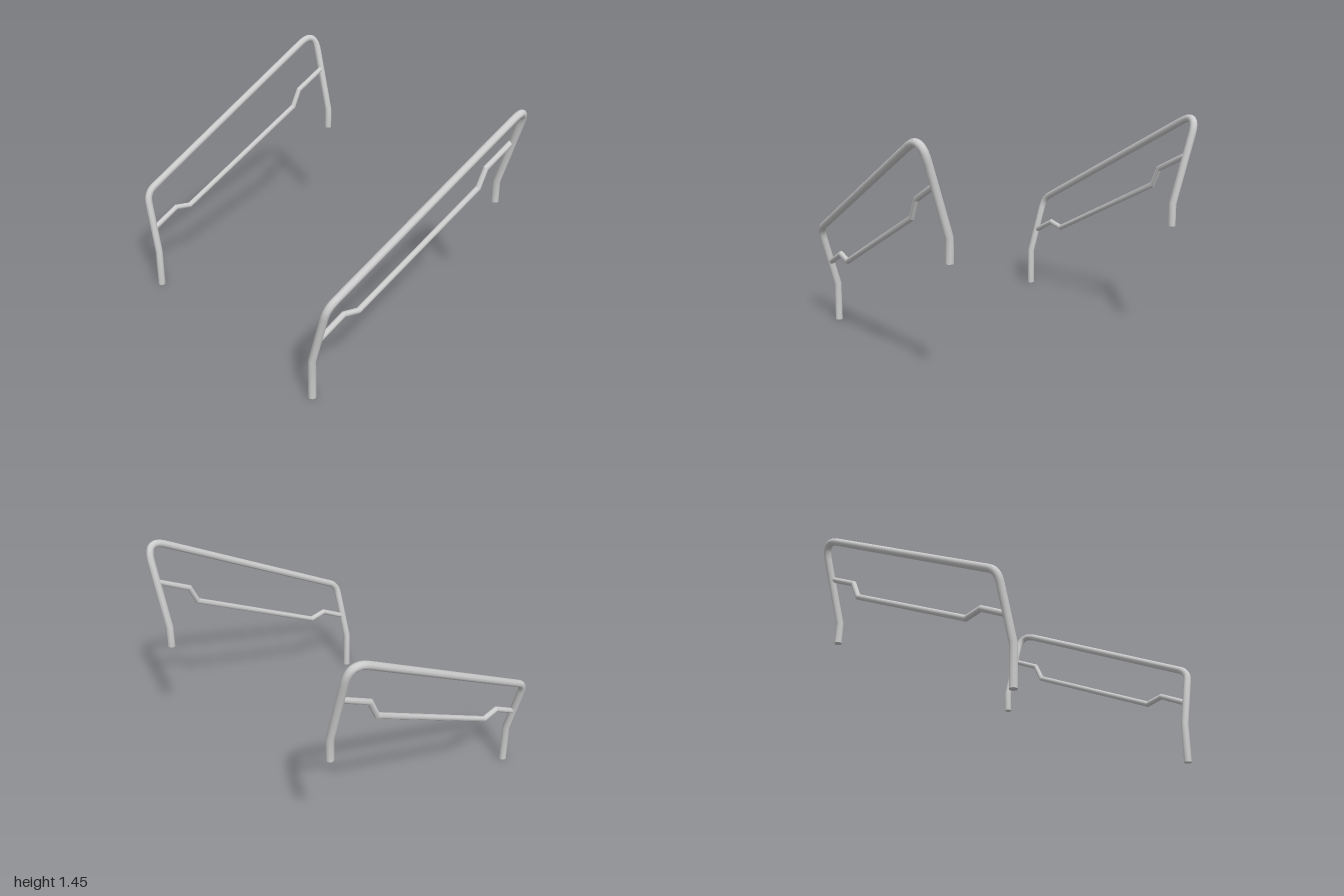
import * as THREE from 'three';
import { toCreasedNormals } from 'three/addons/utils/BufferGeometryUtils.js';

const SIDES = 18;
const material = new THREE.MeshStandardMaterial({ color: 0xcccccc });
const V = (x, y, z) => new THREE.Vector3(x, y, z);

// Round pipe along a polyline, mitred at each bend and capped at both ends
function pipe(points, radius, name) {
  const n = points.length;
  const dirs = points.slice(1).map((p, i) => p.clone().sub(points[i]).normalize());
  const u = V(0, 0, 1).cross(dirs[0]);
  if (u.length() < 0.1) u.set(1, 0, 0).cross(dirs[0]);
  u.normalize();
  const w = dirs[0].clone().cross(u);
  let ring = [];
  for (let j = 0; j < SIDES; j++) {
    const a = (j / SIDES) * Math.PI * 2;
    ring.push(points[0].clone().addScaledVector(u, radius * Math.cos(a)).addScaledVector(w, radius * Math.sin(a)));
  }
  const pos = ring.flatMap((p) => p.toArray());
  const index = [];
  for (let i = 1; i < n; i++) {
    const d = dirs[i - 1];
    const normal = i < n - 1 ? d.clone().add(dirs[i]).normalize() : d;
    // slide the ring along the segment to the mitre plane
    ring = ring.map((p) => p.clone().addScaledVector(d, points[i].clone().sub(p).dot(normal) / d.dot(normal)));
    ring.forEach((p) => pos.push(p.x, p.y, p.z));
    for (let j = 0; j < SIDES; j++) {
      const k = (j + 1) % SIDES;
      const a = (i - 1) * SIDES + j, b = (i - 1) * SIDES + k;
      index.push(a, b, b + SIDES, a, b + SIDES, a + SIDES);
    }
  }
  // end caps
  const c = n * SIDES;
  pos.push(...points[0].toArray(), ...points[n - 1].toArray());
  for (let j = 0; j < SIDES; j++) {
    const k = (j + 1) % SIDES;
    index.push(c, k, j, c + 1, c - SIDES + j, c - SIDES + k);
  }
  const geometry = new THREE.BufferGeometry();
  geometry.setAttribute('position', new THREE.Float32BufferAttribute(pos, 3));
  geometry.setIndex(index);
  const mesh = new THREE.Mesh(toCreasedNormals(geometry, 0.5), material);
  mesh.name = name;
  return mesh;
}

// Points of a rounded corner, given the distance cut from each leg
function corner(before, at, after, cut, steps) {
  const start = at.clone().add(before.clone().sub(at).setLength(cut));
  const end = at.clone().add(after.clone().sub(at).setLength(cut));
  return new THREE.QuadraticBezierCurve3(start, at, end).getPoints(steps);
}

function handrail(side, name) {
  const P = (x, y, z) => V(side * x, y, z);
  const rail = new THREE.Group();
  rail.name = name;

  // Outer frame: front post, sloping top rail, back post
  const frontBend = P(0.81, 0.26, 0.776), frontTop = P(0.922, 0.66, 0.764);
  const backTop = P(0.982, 1.472, -0.778), backBend = P(0.81, 0.905, -0.766);
  rail.add(pipe([
    P(0.81, 0, 0.776), frontBend,
    ...corner(frontBend, frontTop, backTop, 0.07, 6),
    ...corner(frontTop, backTop, backBend, 0.155, 10),
    backBend, P(0.81, 0.76, -0.766),
  ], 0.024, 'outerFrame'));

  // Inner rail with a kink near each post
  const profile = [[0.768, 0.418], [0.583, 0.515], [0.47, 0.493], [-0.49, 0.972], [-0.546, 1.087], [-0.77, 1.201]];
  rail.add(pipe(profile.map(([z, y]) => P(0.874 - 0.024 * z, y, z)), 0.018, 'innerRail'));
  return rail;
}

export function createModel() {
  const model = new THREE.Group();
  model.name = 'stairHandrails';
  model.add(handrail(1, 'leftHandrail'), handrail(-1, 'rightHandrail'));
  return model;
}
